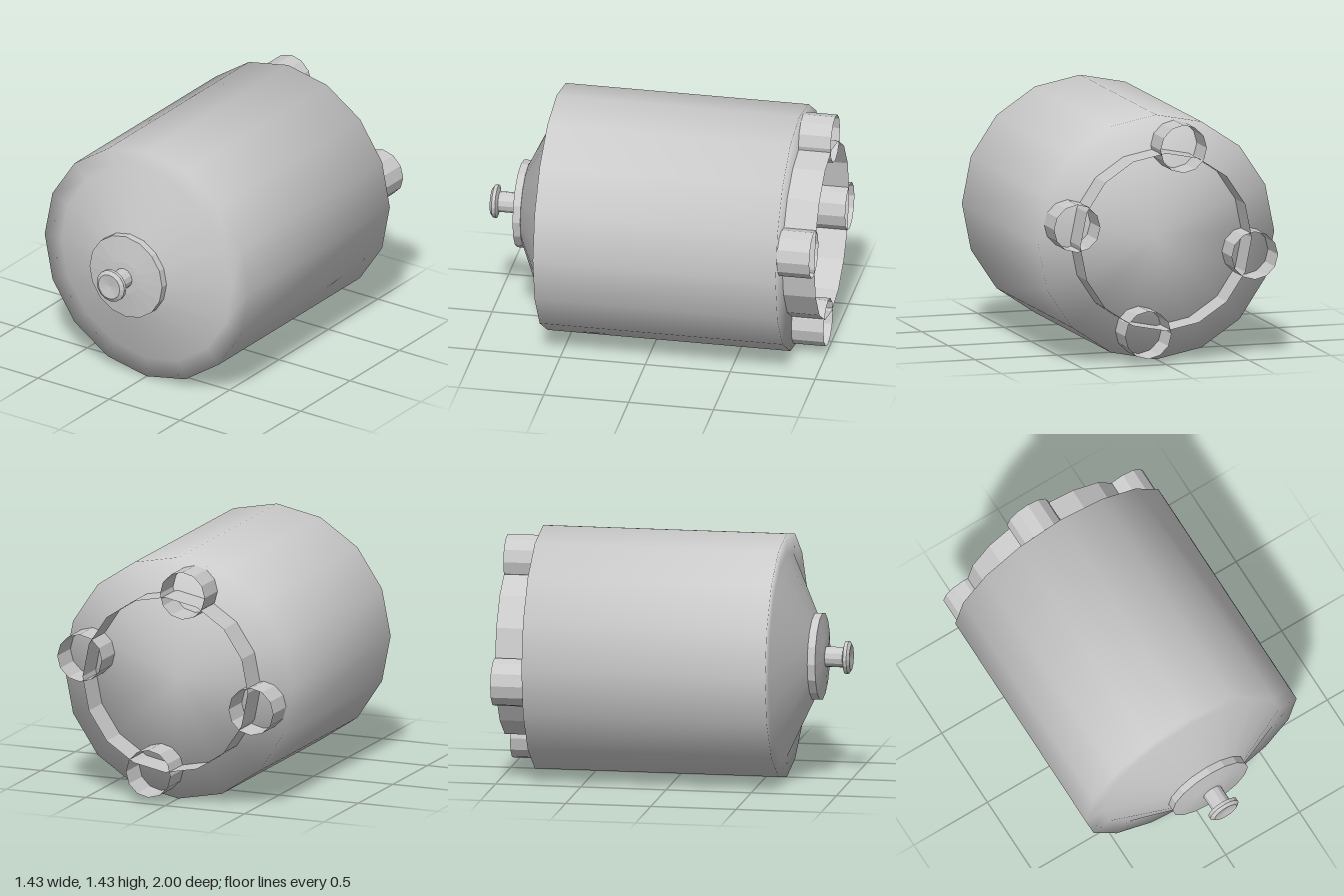
import * as THREE from 'three';

const AXIS_Y = 0.717;

// Turns a profile of [radius, z] points, listed back to front, around the z axis.
function turned(name, profile, sides, options = {}) {
  const points = profile.map(([r, z]) => new THREE.Vector2(r, z));
  const geometry = new THREE.LatheGeometry(points, sides).rotateX(Math.PI / 2);
  const material = new THREE.MeshStandardMaterial({ color: 0xcccccc, ...options });
  const mesh = new THREE.Mesh(geometry, material);
  mesh.name = name;
  return mesh;
}

export function createModel() {
  const model = new THREE.Group();
  model.name = 'canister';
  const faceted = { flatShading: true };
  const openWall = { flatShading: true, side: THREE.DoubleSide };

  // Main drum with its sloped front shoulder, shaded softly over the rims
  model.add(turned('drum', [
    [0, -0.81], [0.717, -0.81], [0.717, 0.62], [0.6, 0.62], [0.24, 0.79], [0, 0.79],
  ], 16));

  // Slightly domed collar on the shoulder
  model.add(turned('collar', [
    [0, 0.785], [0.255, 0.785], [0.255, 0.83], [0.1, 0.85], [0, 0.855],
  ], 16, faceted));

  // Stem and flared knob at the front tip
  model.add(turned('stem', [[0.06, 0.84], [0.06, 0.965]], 12, faceted));
  model.add(turned('knob', [
    [0, 0.955], [0.06, 0.955], [0.097, 0.965], [0.097, 0.985], [0.075, 1], [0, 0.99],
  ], 16, faceted));

  // Open ring standing on the back face
  model.add(turned('backRing', [[0.52, -1], [0.52, -0.81]], 16, openWall));

  // Four open tubes spaced around the ring, turned half a facet
  for (let i = 0; i < 4; i++) {
    const angle = Math.PI / 16 + i * Math.PI / 2;
    const tube = turned('backTube', [[0.14, -1], [0.14, -0.81]], 12, openWall);
    tube.position.set(0.55 * Math.cos(angle), 0.55 * Math.sin(angle), 0);
    model.add(tube);
  }

  for (const part of model.children) part.position.y += AXIS_Y;
  return model;
}
